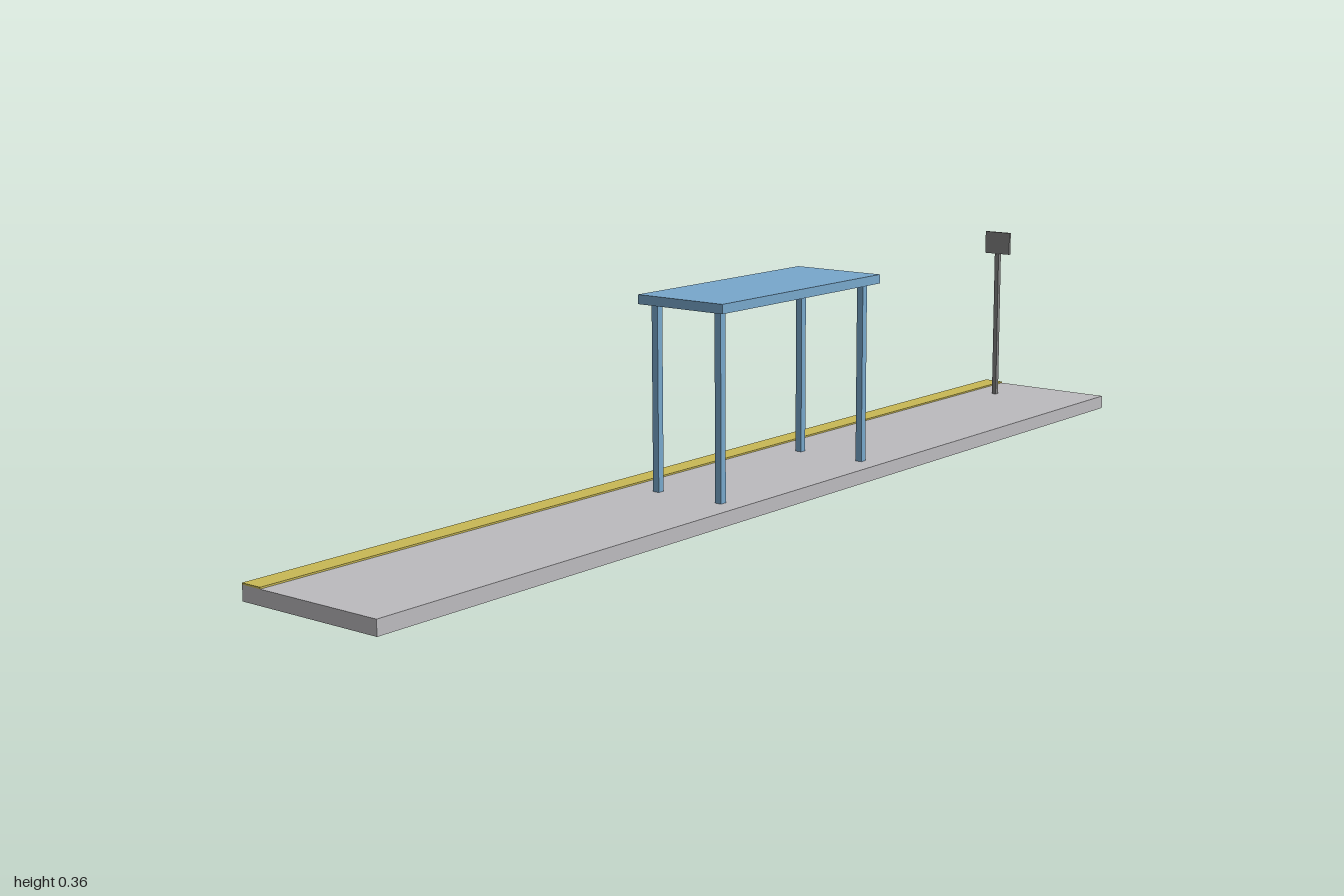
import * as THREE from 'three';

const paint = (name, color) => Object.assign(new THREE.MeshStandardMaterial({ color }), { name });

export function createModel() {
  const concrete = paint('concrete grey', 0xbcbbbe);
  const yellow = paint('safety yellow', 0xc9b955);
  const blue = paint('shelter blue', 0x78a8cc);
  const steel = paint('sign grey', 0x828282);

  const model = new THREE.Group();
  model.name = 'stationPlatform';

  // Box given by its ranges along x, y and z
  const box = (parent, name, material, [x0, x1], [y0, y1], [z0, z1]) => {
    const mesh = new THREE.Mesh(new THREE.BoxGeometry(x1 - x0, y1 - y0, z1 - z0), material);
    mesh.position.set((x0 + x1) / 2, (y0 + y1) / 2, (z0 + z1) / 2);
    mesh.name = name;
    parent.add(mesh);
  };
  const around = (centre, width) => [centre - width / 2, centre + width / 2];
  const deck = 0.025;
  const top = 0.359;

  // Slab and safety strip along the rear edge
  box(model, 'platformSlab', concrete, [-1, 1], [0, deck], [-0.139, 0.139]);
  box(model, 'safetyStrip', yellow, [-1, 1], [deck, 0.0278], [-0.139, -0.1]);

  // Shelter: flat roof on four square posts
  const shelter = new THREE.Group();
  shelter.name = 'shelter';
  model.add(shelter);
  const roofUnderside = 0.343;
  box(shelter, 'shelterRoof', blue, around(0, 0.444), [roofUnderside, top], around(0.0285, 0.178));
  for (const x of [-0.2, 0.2]) {
    for (const z of [-0.038, 0.095]) {
      box(shelter, 'shelterPost', blue, around(x, 0.0125), [deck, roofUnderside], around(z, 0.0125));
    }
  }

  // Sign facing along the platform
  const sign = new THREE.Group();
  sign.name = 'platformSign';
  model.add(sign);
  box(sign, 'signPost', steel, around(0.889, 0.009), [deck, 0.315], around(-0.049, 0.009));
  box(sign, 'signBoard', steel, around(0.889, 0.0055), [0.315, top], around(-0.049, 0.056));

  return model;
}
